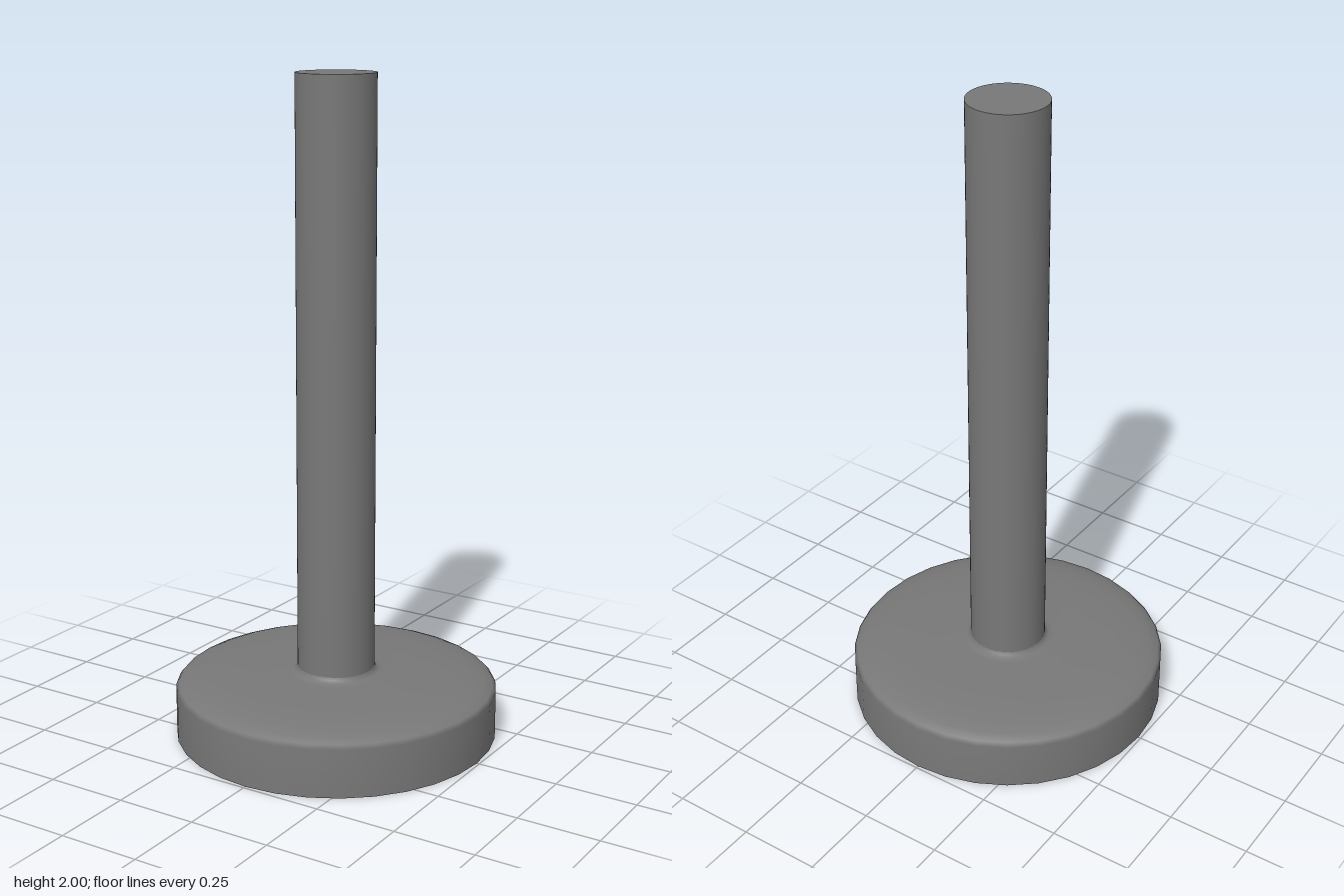
import * as THREE from 'three';

const SIDES = 32;
const BASE_RADIUS = 0.492;
const ROD_RADIUS = 0.118;

export function createModel() {
  const model = new THREE.Group();
  const material = new THREE.MeshStandardMaterial({ color: 0x787878 });

  const add = (name, geometry, parent = model) => {
    const mesh = new THREE.Mesh(geometry, material);
    mesh.name = name;
    parent.add(mesh);
    return mesh;
  };

  // Round base: straight wall, softened rim, gently domed top and a fillet at the rod
  const base = new THREE.Group();
  base.name = 'base';
  model.add(base);
  const profile = [
    [BASE_RADIUS, 0], [BASE_RADIUS, 0.148], [0.482, 0.16], [0.455, 0.171],
    [0.41, 0.18], [0.34, 0.187], [0.24, 0.191], [0.15, 0.193],
    [0.13, 0.196], [0.121, 0.203], [0.117, 0.215],
  ].map(([r, y]) => new THREE.Vector2(r, y));
  add('baseBody', new THREE.LatheGeometry(profile, SIDES), base);
  add('baseUnderside', new THREE.CircleGeometry(BASE_RADIUS, SIDES).rotateX(Math.PI / 2), base);

  // Upright rod with a flat top, starting inside the base
  const bottom = 0.15;
  const rod = add('rod', new THREE.CylinderGeometry(ROD_RADIUS, ROD_RADIUS, 2 - bottom, 64));
  rod.position.y = (2 + bottom) / 2;

  return model;
}
